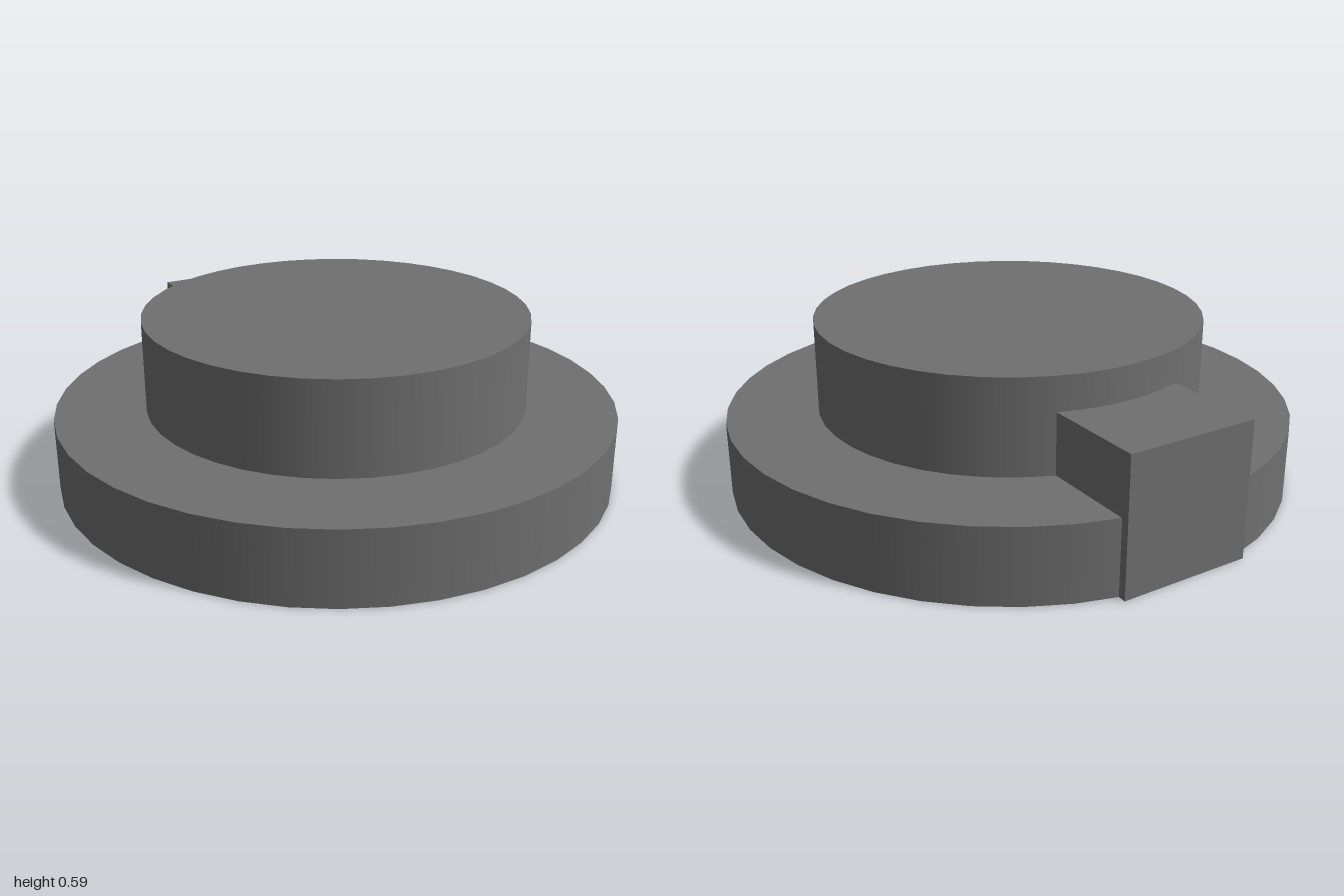
import * as THREE from 'three';

export function createModel() {
  const group = new THREE.Group();
  const material = new THREE.MeshStandardMaterial({ color: 0x707070 });

  const add = (name, geometry, y, z = 0) => {
    const mesh = new THREE.Mesh(geometry, material);
    mesh.name = name;
    mesh.position.set(0, y, z);
    group.add(mesh);
  };
  // Upright disc between two heights, with a corner on the x axis
  const disc = (name, radius, y0, y1) =>
    add(name, new THREE.CylinderGeometry(radius, radius, y1 - y0, 42, 1, false, Math.PI / 2), (y0 + y1) / 2);

  // Wide base and the narrower hub, sunk slightly into it
  disc('baseFlange', 1, 0, 0.26);
  disc('hub', 0.682, 0.2, 0.588);

  // Locating key at the back, running from the hub to the rim
  add('rearKey', new THREE.BoxGeometry(0.465, 0.47, 0.4), 0.235, -0.8);

  return group;
}
